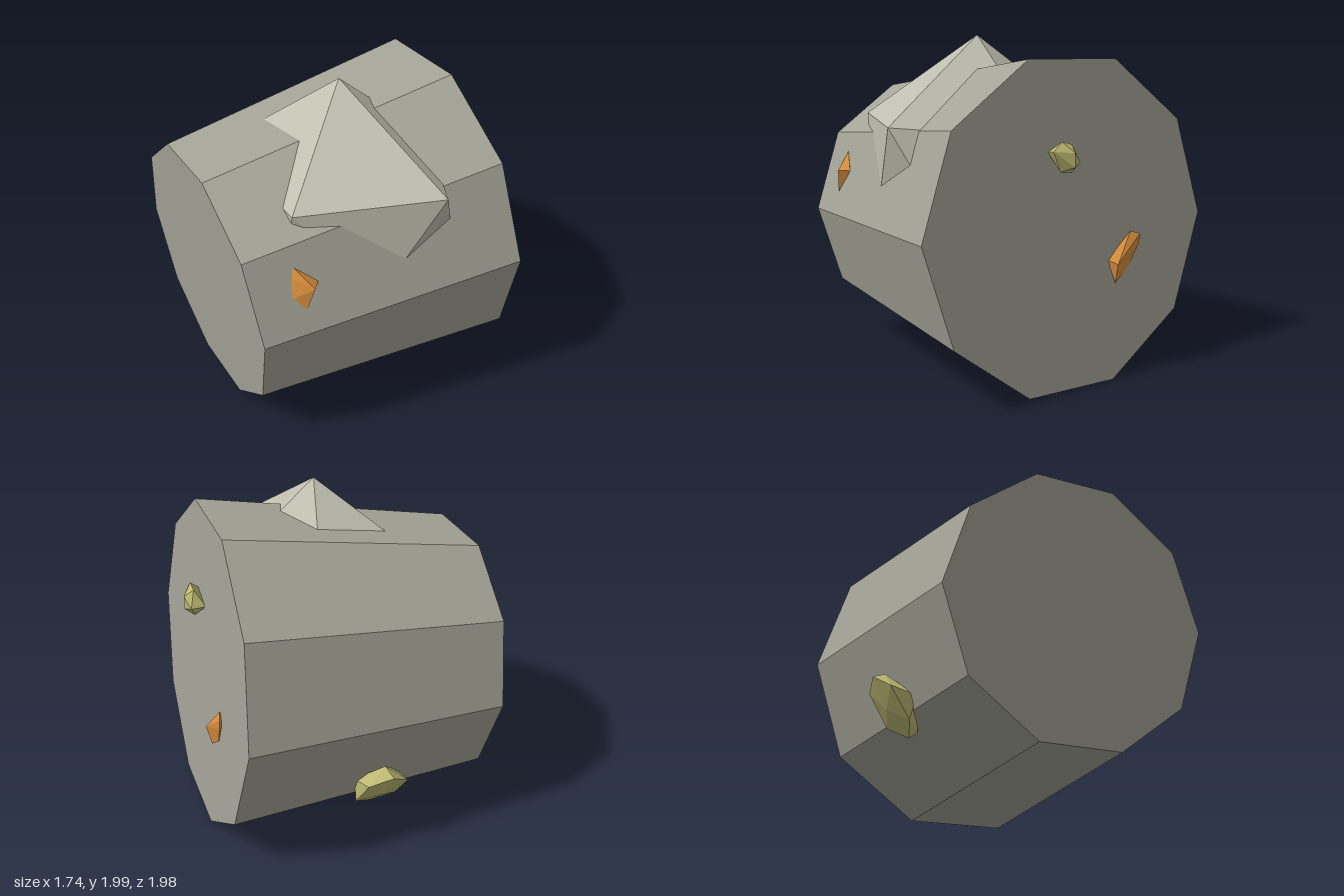
import * as THREE from 'three';
import { ConvexGeometry } from 'three/addons/geometries/ConvexGeometry.js';

const material = (color) => new THREE.MeshStandardMaterial({ color, flatShading: true });

// Faceted solid wrapped around a few corner points
function facetedRock(name, mat, corners) {
  const mesh = new THREE.Mesh(
    new ConvexGeometry(corners.map((c) => new THREE.Vector3(...c))), mat);
  mesh.name = name;
  return mesh;
}

export function createModel() {
  const group = new THREE.Group();
  group.name = 'crystalBoulder';

  const stone = material(0xa3a397);
  const paleStone = material(0xbfbfb0);
  const orange = material(0xd98f3e);
  const yellow = material(0xbdb872);

  // Ten-sided tapered body lying along x, slightly tilted
  const bodyGeometry = new THREE.CylinderGeometry(0.99, 0.82, 1.596, 10)
    .rotateZ(-Math.PI / 2)
    .rotateX(-0.04)
    .rotateZ(0.074)
    .rotateY(-0.038)
    .translate(-0.015, 0.9, -0.027);
  const body = new THREE.Mesh(bodyGeometry, stone);
  body.name = 'body';
  group.add(body);

  // Pointed rock breaking out of the top; its lower corners are buried
  group.add(facetedRock('topRock', paleStone, [
    [0.02, 2.0, 0.115], [0.25, 1.54, 0.88], [-0.54, 1.51, 0.55],
    [0.65, 1.46, 0.115], [-0.54, 1.53, -0.32], [0.2, 1.54, -0.47],
    [-0.095, 0.94, 0.76], [0.475, 1.04, 0.68], [-0.5, 1.0, 0.35],
  ]));

  // Orange shards on the front and on the wide end
  group.add(facetedRock('frontShard', orange, [
    [-0.6, 1.27, 0.66], [-0.48, 1.17, 0.72], [-0.53, 1.17, 0.775],
    [-0.575, 1.01, 0.75], [-0.64, 1.1, 0.71], [-0.625, 1.22, 0.68],
    [-0.55, 1.15, 0.6],
  ]));
  group.add(facetedRock('endShard', orange, [
    [0.81, 0.88, -0.42], [0.83, 0.86, -0.48], [0.83, 0.8, -0.47],
    [0.86, 0.71, -0.28], [0.83, 0.59, -0.29], [0.82, 0.67, -0.4],
    [0.8, 0.73, -0.25], [0.76, 0.73, -0.36],
  ]));

  // Yellow nuggets on the wide end and low on the back
  group.add(facetedRock('endNugget', yellow, [
    [0.8, 1.46, 0.11], [0.8, 1.41, 0.17], [0.8, 1.44, 0.04],
    [0.79, 1.29, 0.11], [0.8, 1.28, 0.04], [0.83, 1.34, 0.0],
    [0.855, 1.4, 0.06], [0.855, 1.32, 0.06],
    [0.74, 1.4, 0.16], [0.74, 1.34, 0.0],
  ]));
  group.add(facetedRock('backNugget', yellow, [
    [-0.05, 0.53, -0.94], [0.09, 0.48, -0.9], [-0.17, 0.45, -0.88],
    [-0.03, 0.36, -0.84], [0.11, 0.3, -0.77], [-0.15, 0.28, -0.75],
    [-0.02, 0.22, -0.69], [-0.03, 0.57, -0.86], [-0.02, 0.26, -0.64],
    [0.11, 0.44, -0.74], [-0.17, 0.42, -0.72],
  ]));

  return group;
}
